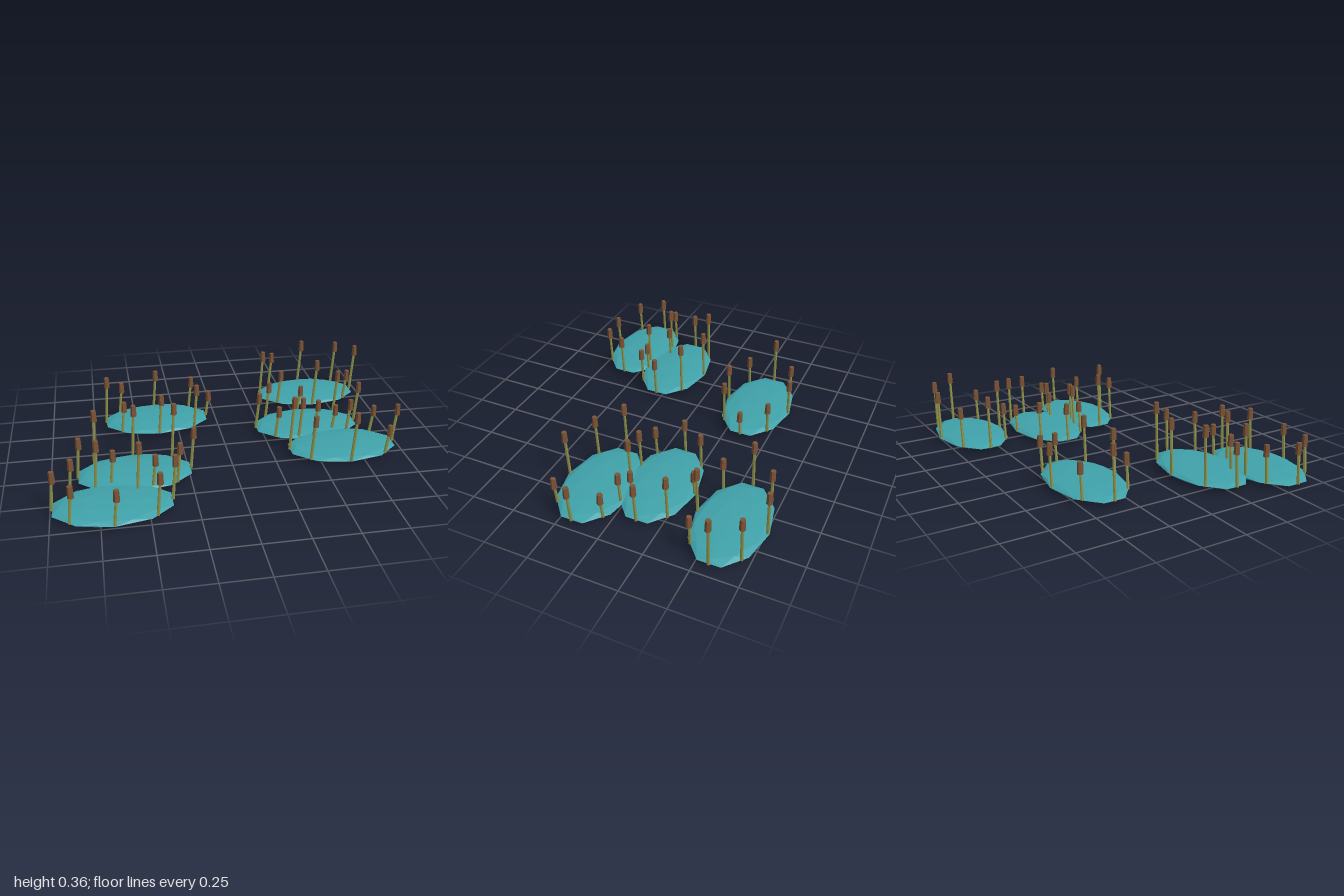
import * as THREE from 'three';

const flat = (name, color) => {
  const m = new THREE.MeshStandardMaterial({ color, flatShading: true });
  m.name = name;
  return m;
};

// Pond positions and the top height of each reed, clockwise from the left (-x) side:
// left, back left, back, back right, right, front right, front, front left
const PONDS = [
  { x: 0.64, z: -0.575, tops: [0.33, 0.26, 0.31, 0.31, 0.33, 0.22, 0.325, 0.245] },
  { x: 0.52, z: -0.127, tops: [0.25, 0.255, 0.19, 0.30, 0.275, 0.23, 0.27, 0.22] },
  { x: 0.655, z: 0.172, tops: [0.355, 0.28, 0.19, 0.195, 0.26, 0.20, 0.325, 0.295] },
  { x: -0.37, z: -0.349, tops: [0.325, 0.225, 0.265, 0.23, 0.19, 0.295, 0.275, 0.22] },
  { x: -0.548, z: 0.278, tops: [0.265, 0.355, 0.34, 0.36, 0.275, 0.26, 0.315, 0.315] },
  { x: -0.682, z: 0.575, tops: [0.25, 0.235, 0.235, 0.22, 0.285, 0.27, 0.23, 0.24] },
];
const WATER_Y = 0.027, LEAN = 0.018, HEAD = 0.064;

export function createModel() {
  const water = flat('water teal', 0x40a2aa);
  const stemMat = flat('stem olive', 0x8c9048);
  const headMat = flat('reed head brown', 0x7c5436);

  // Flattened faceted sphere with a vertex at the top and a ten-sided rim
  const pondGeo = new THREE.IcosahedronGeometry(1, 1);
  pondGeo.rotateX(-Math.atan((1 + Math.sqrt(5)) / 2));
  pondGeo.rotateY(Math.PI / 2);
  pondGeo.scale(0.321, WATER_Y, 0.2);
  pondGeo.computeVertexNormals();

  const headGeo = new THREE.CylinderGeometry(0.0145, 0.017, HEAD, 6);
  headGeo.rotateY(Math.PI / 6);

  // A stem leaning towards +x from the rim of the pond, with an upright head
  function reed(top) {
    const g = new THREE.Group();
    g.name = 'reed';
    const h = top - WATER_Y - HEAD / 2;
    const stem = new THREE.Mesh(new THREE.CylinderGeometry(0.008, 0.009, Math.hypot(h, LEAN), 6), stemMat);
    stem.name = 'stem';
    stem.position.set(LEAN / 2, h / 2, 0);
    stem.rotation.z = -Math.atan(LEAN / h);
    const head = new THREE.Mesh(headGeo, headMat);
    head.name = 'reedHead';
    head.position.set(LEAN, h, 0);
    g.add(stem, head);
    return g;
  }

  const model = new THREE.Group();
  model.name = 'reedPonds';
  for (const { x, z, tops } of PONDS) {
    const pond = new THREE.Group();
    pond.name = 'pond';
    pond.position.set(x, WATER_Y, z);
    const surface = new THREE.Mesh(pondGeo, water);
    surface.name = 'pondWater';
    pond.add(surface);
    // Eight reeds around the rim
    tops.forEach((top, i) => {
      const a = (i * Math.PI) / 4;
      const r = reed(top);
      r.position.set(-Math.cos(a) * 0.308, 0, -Math.sin(a) * 0.19);
      pond.add(r);
    });
    model.add(pond);
  }
  return model;
}
